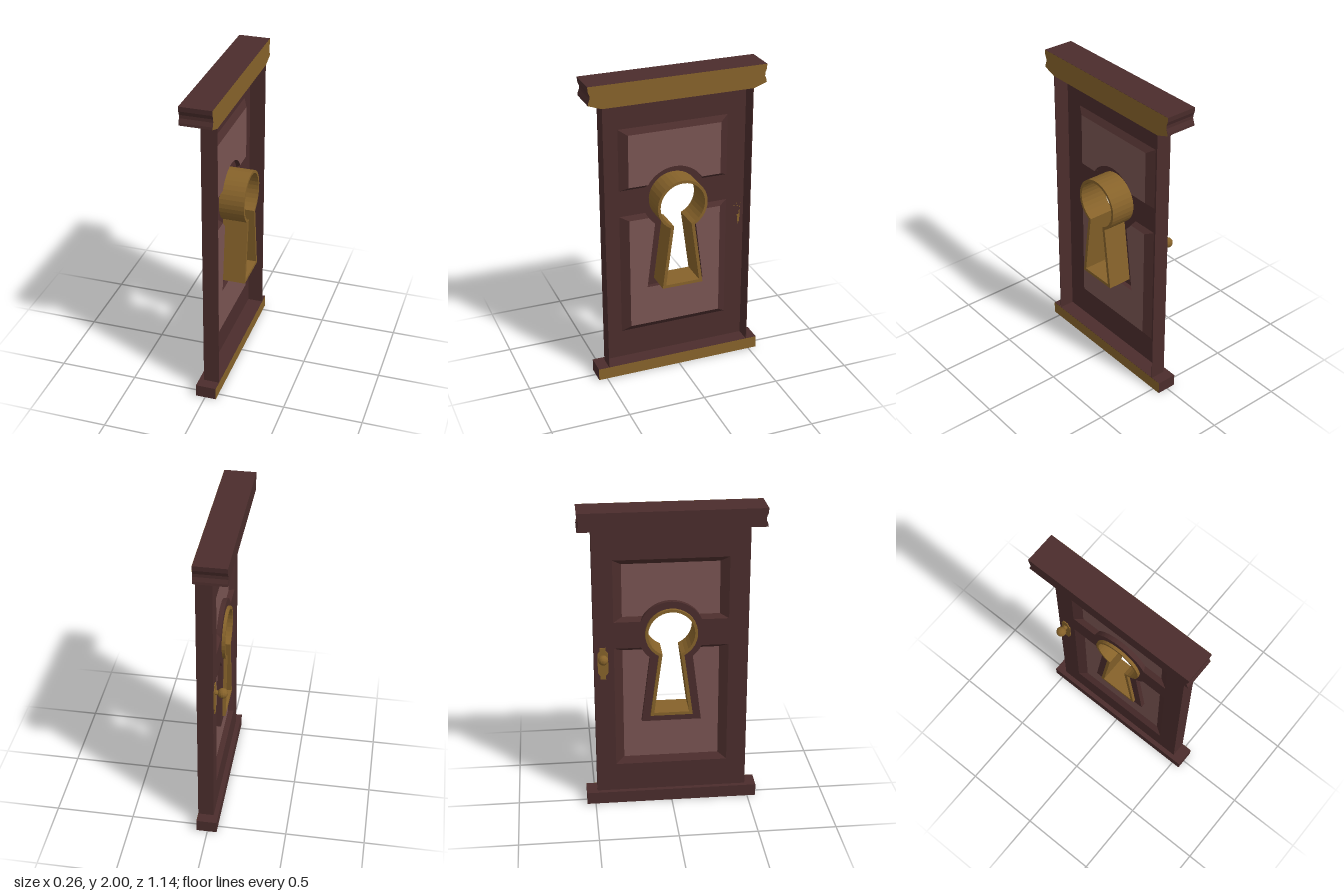
import * as THREE from 'three';

const mat = (color) => new THREE.MeshStandardMaterial({ color, flatShading: true, side: THREE.DoubleSide });
const CY = 1.18; // height of the keyhole's round centre

// points of an arc about the keyhole centre, angles in degrees
function arc(r, a0, a1, n) {
  return Array.from({ length: n + 1 }, (_, i) => {
    const a = THREE.MathUtils.degToRad(a0 + (a1 - a0) * i / n);
    return new THREE.Vector2(r * Math.cos(a), CY + r * Math.sin(a));
  });
}
const pts = (...list) => list.map(([u, y]) => new THREE.Vector2(u, y));

// keyhole outline: round head, flared skirt
function keyhole(r, neckAngle, halfBase, baseY) {
  return [...arc(r, -neckAngle, 180 + neckAngle, 28), ...pts([-halfBase, baseY], [halfBase, baseY])];
}

// panel outlines that stop at the raised surround of the keyhole; i = 0 outer edge, 1 inner edge
const R = 0.21;
const edgeAngle = (y) => THREE.MathUtils.radToDeg(Math.asin((y - CY) / R));
function upperOutline(i) {
  const w = 0.36 - 0.055 * i, t = 1.67 - 0.035 * i, b = 1.265 + 0.025 * i, a = edgeAngle(b);
  return [...pts([w, b], [w, t], [-w, t], [-w, b]), ...arc(R, 180 - a, a, 16)];
}
function lowerOutline(i) {
  const w = 0.36 - 0.055 * i, t = 1.09 - 0.025 * i, b = 0.27 + 0.04 * i, a = edgeAngle(t);
  return [...pts([-w, t], [-w, b], [w, b], [w, t]), ...arc(R, a, -50, 4),
    ...pts([0.19, 0.575], [-0.19, 0.575]), ...arc(R, -130, -180 - a, 4)];
}

// flat shape in the z-y plane at a given x, or a solid between two x positions
function flat(outline, x, holes = []) {
  const s = new THREE.Shape(outline);
  s.holes = holes.map((h) => new THREE.Path(h));
  return new THREE.ShapeGeometry(s).rotateY(Math.PI / 2).translate(x, 0, 0);
}
function solid(outline, x0, x1, holes = []) {
  const s = new THREE.Shape(outline);
  s.holes = holes.map((h) => new THREE.Path(h));
  return new THREE.ExtrudeGeometry(s, { depth: x1 - x0, bevelEnabled: false })
    .rotateY(Math.PI / 2).translate(x0, 0, 0);
}

// sloping strip joining two outlines with equal point counts
function strip(a, xa, b, xb) {
  const pos = [], n = a.length;
  for (let i = 0; i < n; i++) {
    const j = (i + 1) % n;
    const A = [xa, a[i].y, -a[i].x], B = [xa, a[j].y, -a[j].x];
    const C = [xb, b[j].y, -b[j].x], D = [xb, b[i].y, -b[i].x];
    pos.push(...A, ...B, ...C, ...A, ...C, ...D);
  }
  const g = new THREE.BufferGeometry();
  g.setAttribute('position', new THREE.Float32BufferAttribute(pos, 3));
  g.computeVertexNormals();
  return g;
}

export function createModel() {
  const group = new THREE.Group();
  const wood = mat(0x4b2d2c), panelWood = mat(0x795452), brass = mat(0x86622a);
  const add = (name, geo, material) => {
    const m = new THREE.Mesh(geo, material);
    m.name = name;
    group.add(m);
    return m;
  };
  const FRONT = -0.03, BACK = 0.07, PANEL = 0.0;

  // open-backed door: face sheet, side walls, sunken panels with sloping edges
  const ring = keyhole(0.165, 61, 0.135, 0.62);
  add('doorFace', flat(pts([-0.485, 0.07], [0.485, 0.07], [0.485, 1.87], [-0.485, 1.87]), FRONT,
    [upperOutline(0), lowerOutline(0), ring]), wood);
  for (const [side, s] of [['left', 1], ['right', -1]]) {
    add(side + 'SideWall', new THREE.BoxGeometry(BACK - FRONT, 1.8, 0.004)
      .translate((BACK + FRONT) / 2, 0.97, s * 0.483), wood);
  }
  for (const [name, outline] of [['upper', upperOutline], ['lower', lowerOutline]]) {
    add(name + 'Panel', flat(outline(1), PANEL), panelWood);
    add(name + 'PanelEdge', strip(outline(0), FRONT, outline(1), PANEL), wood);
  }

  // brass keyhole sleeve
  add('keyholeSleeve', solid(ring, -0.05, 0.13, [keyhole(0.147, 66.8, 0.112, 0.64)]), brass);

  // cornice: block with hollowed ends over a tapering underside, brass back plate
  const ends = [[0.57, 1.885], [0.568, 1.9], [0.558, 1.925], [0.558, 1.945], [0.568, 1.97], [0.57, 2]];
  const mirrored = ends.map(([u, y]) => [-u, y]).reverse();
  add('cornice', solid(pts(...ends, ...mirrored), -0.13, BACK), wood);
  const taper = new THREE.BoxGeometry(0.2, 0.03, 1.14).translate(-0.03, 1.87, 0);
  const p = taper.attributes.position;
  for (let i = 0; i < p.count; i++) {
    if (p.getY(i) < 1.87) {
      p.setX(i, p.getX(i) < 0 ? FRONT : BACK);
      p.setZ(i, Math.sign(p.getZ(i)) * 0.485);
    }
  }
  taper.computeVertexNormals();
  add('corniceUnderside', taper, wood);
  add('corniceBackPlate', flat(pts([0.485, 1.855], ...ends, ...mirrored, [-0.485, 1.855]), BACK + 0.001), brass);

  // threshold with brass back plate
  add('threshold', new THREE.BoxGeometry(0.13, 0.08, 1.11).translate(0.005, 0.04, 0), wood);
  add('thresholdBackPlate', flat(pts([-0.555, 0], [0.555, 0], [0.555, 0.08], [-0.555, 0.08]), BACK + 0.001), brass);

  // door knob on its plate
  const KZ = -0.43, KY = 1.037;
  add('knobPlate', solid(pts([-0.018, 0.885], [0.018, 0.885], [0.018, 0.91], [0.033, 0.93], [0.033, 1.06],
    [0.018, 1.08], [0.018, 1.1], [-0.018, 1.1], [-0.018, 1.08], [-0.033, 1.06], [-0.033, 0.93], [-0.018, 0.91]),
  -0.036, FRONT).translate(0, 0, KZ), brass);
  add('knobStem', new THREE.CylinderGeometry(0.012, 0.016, 0.05, 10).rotateZ(Math.PI / 2)
    .translate(-0.055, KY, KZ), brass);
  add('knob', new THREE.SphereGeometry(0.032, 14, 10).translate(-0.08, KY, KZ), brass);

  return group;
}
